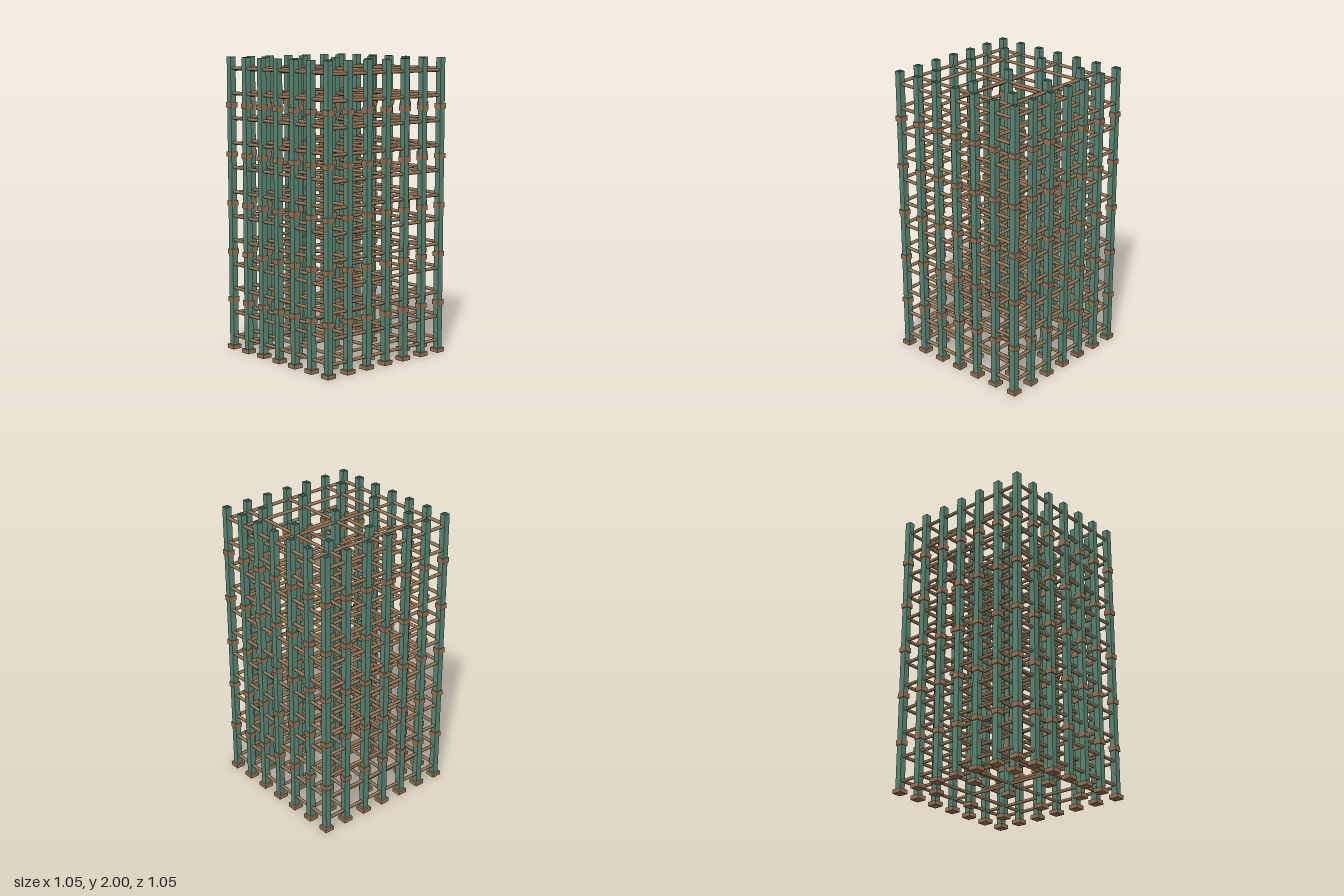
import * as THREE from 'three';

const PITCH = 0.1645;          // spacing of the post grid
const HALF = 3 * PITCH;        // post centre to tower centre
const LINES = [-3, -2, 0, 2, 3]; // grid lines that carry bars

function mat(name, color) {
  const m = new THREE.MeshStandardMaterial({ color });
  m.name = name;
  return m;
}

// Hollow square tube standing on y = 0
function tubeGeometry(width, wall, height) {
  const square = (Type, h) => new Type().moveTo(-h, -h).lineTo(h, -h).lineTo(h, h).lineTo(-h, h).closePath();
  const shape = square(THREE.Shape, width / 2);
  shape.holes.push(square(THREE.Path, width / 2 - wall));
  const geo = new THREE.ExtrudeGeometry(shape, { depth: height, bevelEnabled: false });
  return geo.rotateX(-Math.PI / 2);
}

export function createModel() {
  const green = mat('greenPaint', 0x5b8875);
  const brown = mat('brownWood', 0x987454);
  const tower = new THREE.Group();
  tower.name = 'scaffoldTower';

  const add = (parent, name, geo, material, x, y, z) => {
    const mesh = new THREE.Mesh(geo, material);
    mesh.name = name;
    mesh.position.set(x, y, z);
    parent.add(mesh);
    return mesh;
  };

  // Posts with feet and joint collars
  const postGeo = tubeGeometry(0.042, 0.006, 1.975);
  const footGeo = new THREE.BoxGeometry(0.068, 0.028, 0.068);
  const collarGeo = new THREE.BoxGeometry(0.054, 0.035, 0.054);
  for (let i = -3; i <= 3; i++) {
    for (let j = -3; j <= 3; j++) {
      const rim = Math.abs(i) === 3 || Math.abs(j) === 3;
      if (!rim && (i % 2 !== 0 || j % 2 !== 0)) continue;
      const column = new THREE.Group();
      column.name = 'column';
      column.position.set(i * PITCH, 0, j * PITCH);
      add(column, 'foot', footGeo, brown, 0, 0.014, 0);
      add(column, 'post', postGeo, green, 0, 0.025, 0);
      for (let k = 1; k <= 5; k++) add(column, 'collar', collarGeo, brown, 0, k / 3 + 0.013, 0);
      tower.add(column);
    }
  }

  // Crossing bars on twelve levels; those along z rest slightly higher
  const barX = new THREE.CylinderGeometry(0.0115, 0.0115, 2 * HALF, 8).rotateZ(Math.PI / 2);
  const barZ = new THREE.CylinderGeometry(0.0115, 0.0115, 2 * HALF, 8).rotateX(Math.PI / 2);
  for (let level = 0; level < 12; level++) {
    const y = 0.083 + level / 6;
    for (const n of LINES) {
      const slim = n === 0 ? 0.8 : 1;
      add(tower, 'crossBar', barX, brown, 0, y, n * PITCH).scale.z = slim;
      add(tower, 'sideBar', barZ, brown, n * PITCH, y + 0.009, 0).scale.x = slim;
    }
  }
  return tower;
}
